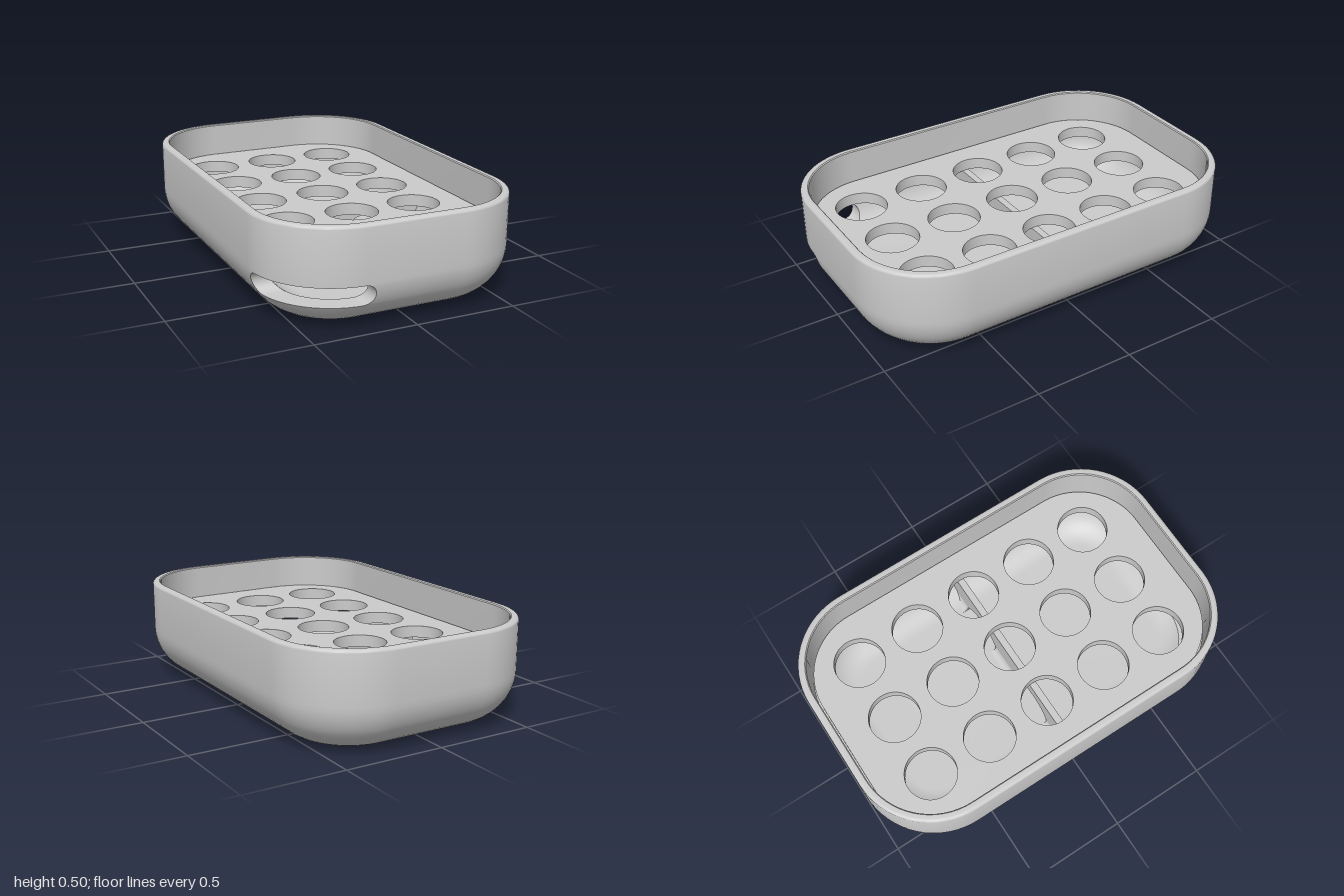
import * as THREE from 'three';
import { toCreasedNormals } from 'three/addons/utils/BufferGeometryUtils.js';

const mat = new THREE.MeshStandardMaterial({ color: 0xcccccc, side: THREE.DoubleSide });
const CX = 0.24, CZ = 0.6, R = 0.4;          // corner centres and outer corner radius
const LO = 0.12, HI = 0.225;                 // drain slot bottom and top
const YC = (LO + HI) / 2, H = (HI - LO) / 2;
const SEG = 16, END = 5;
const FLOOR = 0.08, FILLET = 0.25, SHELF_Y = 0.27;

function mesh(name, geometry) {
  const m = new THREE.Mesh(geometry, mat);
  m.name = name;
  return m;
}

// Rounded-rectangle ring: runs from one end of the slot round to the other, then across the slot
function ring(inset, y) {
  const r = R - inset, pts = [];
  const s = Math.sqrt(Math.max(0, 1 - ((y - YC) / H) ** 2));
  const x0 = -0.2 - H + H * s;
  const zEnd = 0.61 + H - H * s;
  const put = (x, z) => pts.push(new THREE.Vector3(x, y, z));
  const arc = (cx, cz, a, b, n) => {
    for (let k = 0; k <= n; k++) {
      const t = a + (b - a) * k / n;
      put(cx + r * Math.cos(t), cz + r * Math.sin(t));
    }
  };
  const dx = Math.min(0, x0 + CX);
  put(x0, CZ + Math.sqrt(r * r - dx * dx));
  arc(CX, CZ, Math.PI / 2, 0, SEG);
  arc(CX, -CZ, 0, -Math.PI / 2, SEG);
  arc(-CX, -CZ, -Math.PI / 2, -Math.PI, SEG);
  const a = Math.PI - Math.asin((zEnd - CZ) / r);
  arc(-CX, CZ, Math.PI, a, END);
  const slotStart = pts.length - 1;
  arc(-CX, CZ, a, Math.acos(dx / r), SEG);
  pts.splice(slotStart + 1, 1);              // drop the doubled point
  pts[pts.length - 1] = pts[0].clone();      // close the ring
  return { pts, slotStart, y };
}

function trayGeometry() {
  const pos = [];
  const tri = (...v) => v.forEach(p => pos.push(p.x, p.y, p.z));
  const quad = (a, b, c, d) => { tri(a, b, c); tri(a, c, d); };

  // Wall profile: the outside and inside fillets share one centre height
  const insetAt = (y, r) => FILLET - Math.sqrt(r * r - (FILLET - y) ** 2);
  const foot = r => Array.from({ length: 9 }, (_, k) => {
    const t = Math.acos((FILLET - LO) / r) * k / 8;
    return k === 8 ? ring(insetAt(LO, r), LO) : ring(FILLET - r * Math.sin(t), FILLET - r * Math.cos(t));
  });
  const band = r => Array.from({ length: 13 }, (_, k) => {
    const y = k === 0 ? LO : k === 12 ? HI : YC - H * Math.cos(Math.PI * k / 12);
    return ring(insetAt(y, r), y);
  });
  const outer = band(FILLET), inner = band(FILLET - 0.08);
  const rim = [];
  for (let k = 0; k <= 4; k++) {
    const t = Math.PI / 2 * k / 4;
    rim.push(ring(0.015 * (1 - Math.cos(t)), 0.485 + 0.015 * Math.sin(t)));
  }
  const profile = [
    ...foot(FILLET), ...outer.slice(1), ring(0, FILLET), ...rim,
    ring(0.035, 0.5), ring(0.04, 0.495), ring(0.04, SHELF_Y), ring(0.08, SHELF_Y), ring(0.08, FILLET),
    ...inner.slice().reverse(), ...foot(FILLET - 0.08).reverse().slice(1)
  ];

  // Skin between neighbouring rings, left open at the slot
  const inSlot = q => q.y >= LO && q.y <= HI;
  for (let k = 0; k + 1 < profile.length; k++) {
    const p = profile[k], q = profile[k + 1];
    const n = inSlot(p) && inSlot(q) ? p.slotStart : p.pts.length - 1;
    for (let j = 0; j < n; j++) quad(p.pts[j], p.pts[j + 1], q.pts[j + 1], q.pts[j]);
  }

  // Underside and inside floor
  const first = profile[0], last = profile[profile.length - 1];
  const under = new THREE.Vector3(0, 0, 0), floor = new THREE.Vector3(0, FLOOR, 0);
  for (let j = 0; j + 1 < first.pts.length; j++) {
    tri(under, first.pts[j + 1], first.pts[j]);
    tri(last.pts[j], last.pts[j + 1], floor);
  }

  // Slot sill, head and rounded ends
  const e = outer[0].slotStart;
  for (let j = e; j + 1 < outer[0].pts.length; j++) {
    quad(outer[0].pts[j], outer[0].pts[j + 1], inner[0].pts[j + 1], inner[0].pts[j]);
    quad(inner[12].pts[j], inner[12].pts[j + 1], outer[12].pts[j + 1], outer[12].pts[j]);
  }
  for (let k = 0; k < 12; k++) {
    const o = outer[k].pts, i = inner[k].pts, o2 = outer[k + 1].pts, i2 = inner[k + 1].pts;
    quad(i[0], o[0], o2[0], i2[0]);
    quad(o[e], i[e], i2[e], o2[e]);
  }

  const g = new THREE.BufferGeometry();
  g.setAttribute('position', new THREE.Float32BufferAttribute(pos, 3));
  return toCreasedNormals(g, 0.5);
}

// Removable shelf with a 3 x 5 grid of round holes
function shelfGeometry() {
  const s = new THREE.Shape(), r = 0.35;
  s.absarc(CX, CZ, r, 0, Math.PI / 2);
  s.absarc(-CX, CZ, r, Math.PI / 2, Math.PI);
  s.absarc(-CX, -CZ, r, Math.PI, Math.PI * 1.5);
  s.absarc(CX, -CZ, r, Math.PI * 1.5, Math.PI * 2);
  for (let i = -1; i <= 1; i++) for (let j = -2; j <= 2; j++) {
    s.holes.push(new THREE.Path().absarc(i * 0.34, j * 0.34, 0.13, 0, Math.PI * 2, true));
  }
  const g = new THREE.ExtrudeGeometry(s, { depth: 0.06, bevelEnabled: false, curveSegments: 24 });
  g.rotateX(-Math.PI / 2).translate(0, SHELF_Y, 0);
  return toCreasedNormals(g, 0.5);
}

// Cross rib under the shelf with two drain arches
function ribGeometry() {
  const s = new THREE.Shape(), base = 0.07, cy = 0.045, r = 0.14;
  const t = Math.asin((base - cy) / r);
  s.moveTo(0.57, SHELF_Y);
  s.lineTo(-0.57, SHELF_Y);
  s.lineTo(-0.57, 0.2);
  s.lineTo(-0.5, 0.09);
  s.lineTo(-0.45, base);
  for (const x of [-0.24, 0.24]) s.absarc(x, cy, r, Math.PI - t, t, true);
  s.lineTo(0.45, base);
  s.lineTo(0.5, 0.09);
  s.lineTo(0.57, 0.2);
  s.closePath();
  const g = new THREE.ExtrudeGeometry(s, { depth: 0.036, bevelEnabled: false, curveSegments: 20 });
  return toCreasedNormals(g.translate(0, 0, -0.018), 0.5);
}

// Concave fillet where a rib foot meets the floor, on both sides of the rib
function footGeometry(x0, x1) {
  const s = new THREE.Shape(), w = 0.018, r = 0.035, b = FLOOR - 0.01;
  s.moveTo(-w - r, b);
  s.lineTo(w + r, b);
  s.absarc(w + r, FLOOR + r, r, Math.PI * 1.5, Math.PI, true);
  s.absarc(-w - r, FLOOR + r, r, 0, -Math.PI / 2, true);
  s.closePath();
  const g = new THREE.ExtrudeGeometry(s, { depth: x1 - x0, bevelEnabled: false, curveSegments: 8 });
  g.rotateY(Math.PI / 2).translate(x0, 0, 0);
  return toCreasedNormals(g, 0.5);
}

export function createModel() {
  const group = new THREE.Group();
  group.name = 'drainingDish';
  group.add(mesh('tray', trayGeometry()));
  group.add(mesh('shelf', shelfGeometry()));
  group.add(mesh('rib', ribGeometry()));
  for (const [a, b] of [[-0.49, -0.376], [-0.104, 0.104], [0.376, 0.49]]) {
    group.add(mesh('ribFoot', footGeometry(a, b)));
  }
  return group;
}
